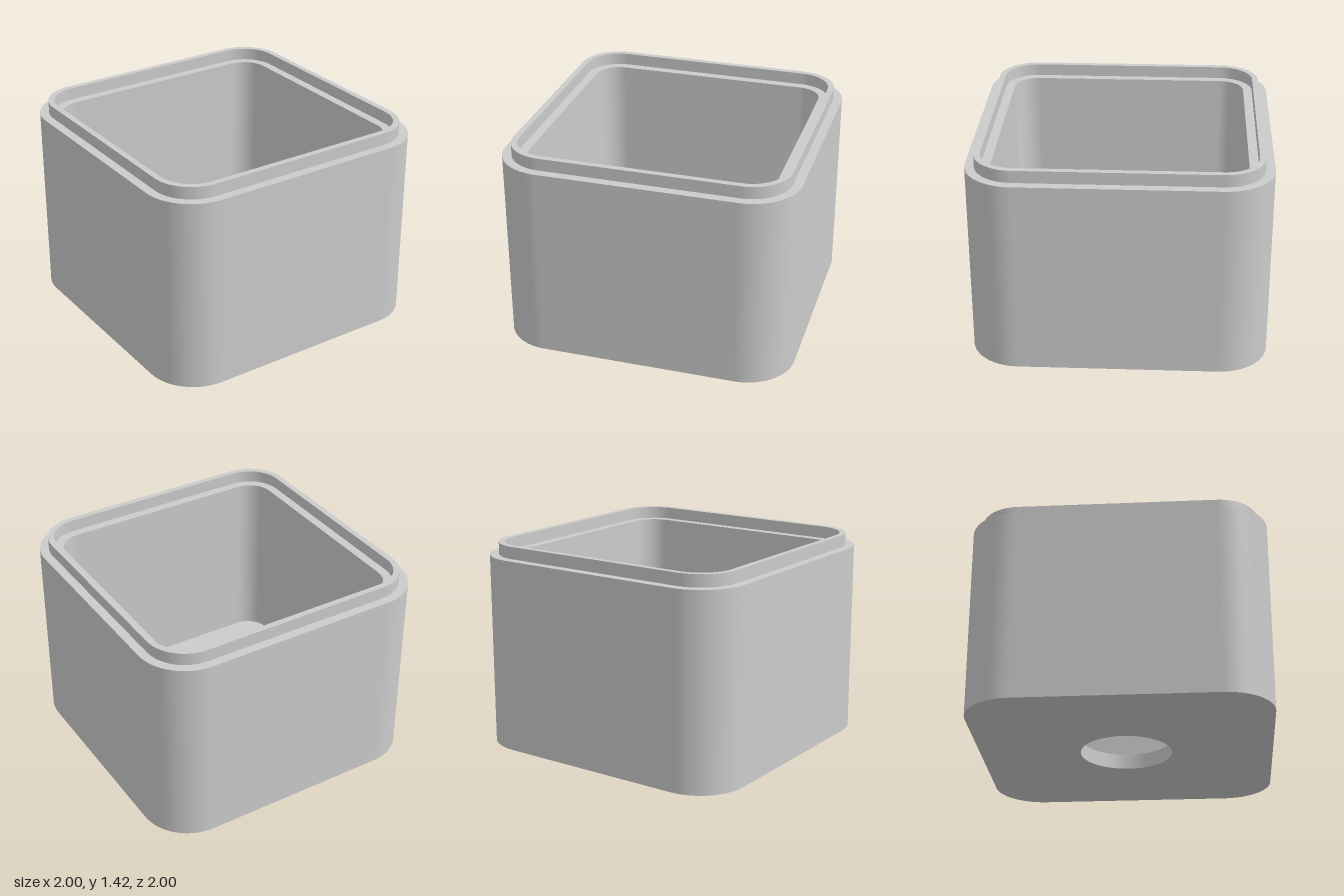
import * as THREE from 'three';

const CORE = 0.667;      // half size of the square through the corner centres
const STEPS = 16;        // segments per rounded corner
const FLOOR = 0.104;     // floor thickness
const HOLE = 0.3125;     // floor hole radius

// Rounded square outline with corner radius r, as points with their directions
function outline(r) {
  const pts = [];
  [[1, 1], [-1, 1], [-1, -1], [1, -1]].forEach(([sx, sz], q) => {
    for (let i = 0; i <= STEPS; i++) {
      const a = (q + i / STEPS) * Math.PI / 2;
      const nx = Math.cos(a), nz = Math.sin(a);
      pts.push({ x: sx * CORE + r * nx, z: sz * CORE + r * nz, nx, nz });
    }
  });
  return pts;
}

// Sweeps a [corner radius, height] profile round the square, sharp at each profile point
function sweep(profile) {
  const pos = [], nor = [], idx = [];
  for (let k = 0; k < profile.length - 1; k++) {
    const [r0, y0] = profile[k], [r1, y1] = profile[k + 1];
    const len = Math.hypot(r1 - r0, y1 - y0);
    const out = (y1 - y0) / len, up = (r0 - r1) / len;
    const low = outline(r0), high = outline(r1), n = low.length, base = pos.length / 3;
    for (let i = 0; i < n; i++) {
      const { nx, nz } = low[i];
      pos.push(low[i].x, y0, low[i].z, high[i].x, y1, high[i].z);
      nor.push(nx * out, up, nz * out, nx * out, up, nz * out);
      const a = base + 2 * i, b = base + 2 * ((i + 1) % n);
      idx.push(a, a + 1, b, b, a + 1, b + 1);
    }
  }
  const geo = new THREE.BufferGeometry();
  geo.setAttribute('position', new THREE.Float32BufferAttribute(pos, 3));
  geo.setAttribute('normal', new THREE.Float32BufferAttribute(nor, 3));
  geo.setIndex(idx);
  return geo;
}

// Flat rounded square with the round hole, facing up or down
function plate(r, y, facing) {
  const shape = new THREE.Shape(outline(r).map(p => new THREE.Vector2(p.x, p.z)));
  shape.holes.push(new THREE.Path().absarc(0, 0, HOLE, 0, Math.PI * 2, true));
  return new THREE.ShapeGeometry(shape, 32).rotateX(-facing * Math.PI / 2).translate(0, y, 0);
}

export function createModel() {
  const group = new THREE.Group();
  const grey = new THREE.MeshStandardMaterial({ color: 0xcccccc });
  const inside = new THREE.MeshStandardMaterial({ color: 0xcccccc, side: THREE.BackSide });
  const add = (name, geo, mat = grey) => {
    const mesh = new THREE.Mesh(geo, mat);
    mesh.name = name;
    group.add(mesh);
  };

  // Outer wall, shoulder, raised lip, inner ledge and cavity wall
  add('walls', sweep([
    [0.333, 0], [0.333, 1.333], [0.271, 1.333], [0.271, 1.417],
    [0.229, 1.417], [0.229, 1.333], [0.167, 1.333], [0.167, FLOOR],
  ]));

  // Floor with its round opening
  add('floorTop', plate(0.167, FLOOR, 1));
  add('floorBottom', plate(0.333, 0, -1));
  add('floorHole', new THREE.CylinderGeometry(HOLE, HOLE, FLOOR, 64, 1, true).translate(0, FLOOR / 2, 0), inside);
  return group;
}
